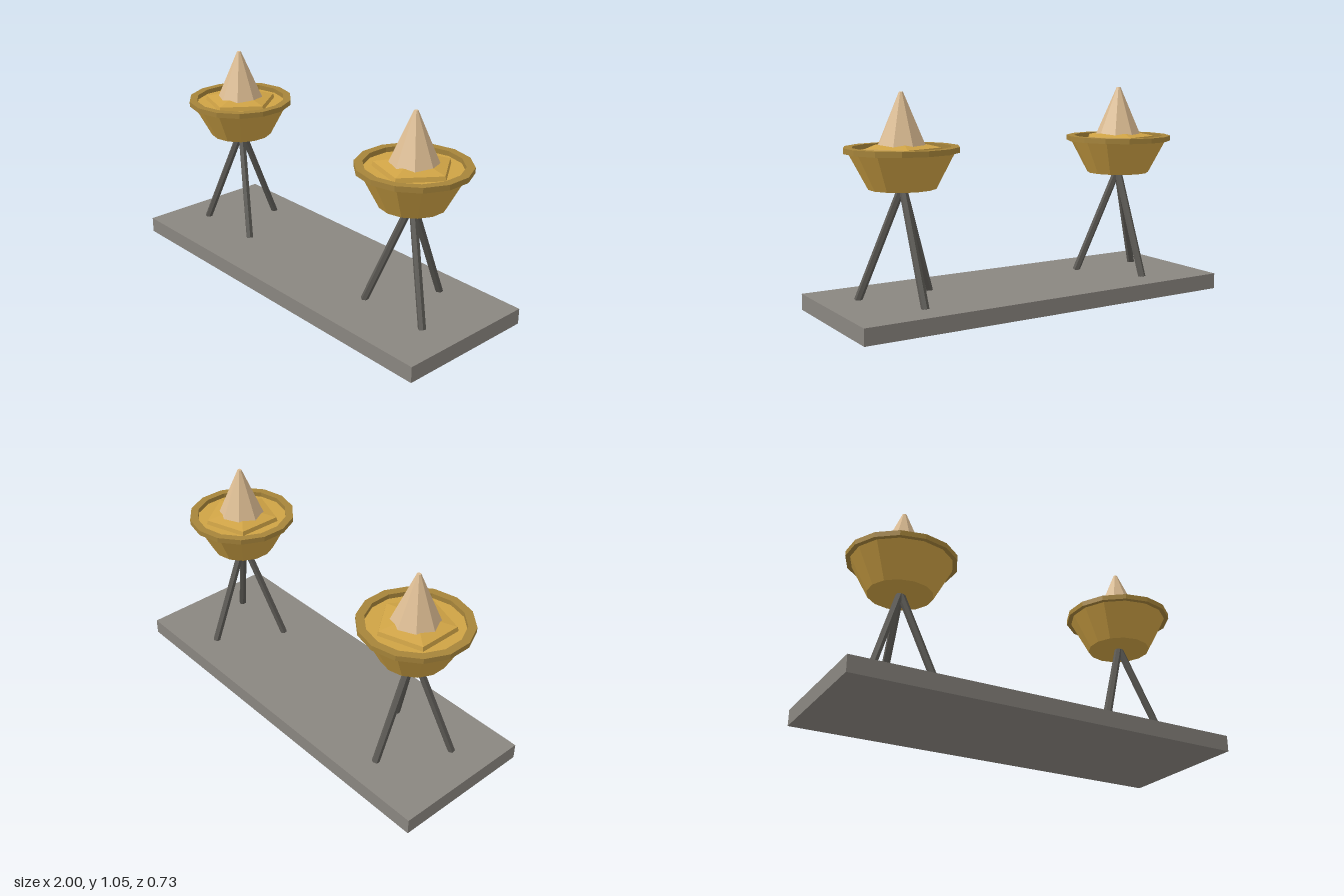
import * as THREE from 'three';

const paint = (name, color) => {
  const m = new THREE.MeshStandardMaterial({ color });
  m.name = name;
  m.flatShading = true;
  return m;
};

export function createModel() {
  const stone = paint('grey stone', 0x8a8680);
  const iron = paint('dark iron', 0x5c5a55);
  const brass = paint('brass', 0xcfa345);
  const darkBrass = paint('dark brass', 0xa6843a);
  const sand = paint('pale sand', 0xdcbc92);

  const model = new THREE.Group();
  const add = (parent, name, geometry, material, y = 0) => {
    const mesh = new THREE.Mesh(geometry, material);
    mesh.name = name;
    mesh.position.y = y;
    parent.add(mesh);
    return mesh;
  };
  const lathe = (points, sides) =>
    new THREE.LatheGeometry(points.map(p => new THREE.Vector2(...p)), sides);

  // Ground slab
  add(model, 'base', new THREE.BoxGeometry(2, 0.08, 0.734), stone, 0.04);

  for (const side of [-1, 1]) {
    const brazier = new THREE.Group();
    brazier.name = side < 0 ? 'rightBrazier' : 'leftBrazier';
    brazier.position.x = side * 0.632;
    model.add(brazier);

    // Tripod: three slanted hexagonal legs meeting under the bowl
    const top = new THREE.Vector3(0, 0.62, 0);
    for (let i = 0; i < 3; i++) {
      const a = Math.PI / 3 + i * Math.PI * 2 / 3;
      const foot = new THREE.Vector3(Math.sin(a) * 0.217, 0.078, Math.cos(a) * 0.217);
      const dir = top.clone().sub(foot);
      const leg = add(brazier, 'leg', new THREE.CylinderGeometry(0.019, 0.019, dir.length(), 6), iron);
      leg.position.copy(foot).add(top).multiplyScalar(0.5);
      leg.rotation.set(-Math.atan2(Math.hypot(dir.x, dir.z), dir.y), a, 0, 'YXZ');
    }

    // Faceted bowl, with a raised ring around its closed top
    add(brazier, 'bowl', new THREE.CylinderGeometry(0.25, 0.16, 0.171, 14), brass, 0.6935);
    add(brazier, 'rim', lathe([
      [0.232, 0.777], [0.272, 0.777], [0.272, 0.803], [0.232, 0.803], [0.232, 0.777],
    ], 14), darkBrass);

    // Five-sided low mound, one corner pointing to +x
    const mound = add(brazier, 'mound', lathe([
      [0.193, 0.777], [0.186, 0.8], [0.11, 0.816], [0, 0.816],
    ], 5), brass);
    mound.rotation.y = Math.PI / 2;

    // Eight-sided spire
    add(brazier, 'spire', new THREE.CylinderGeometry(0.01, 0.117, 0.247, 8), sand, 0.9315);
  }
  return model;
}
